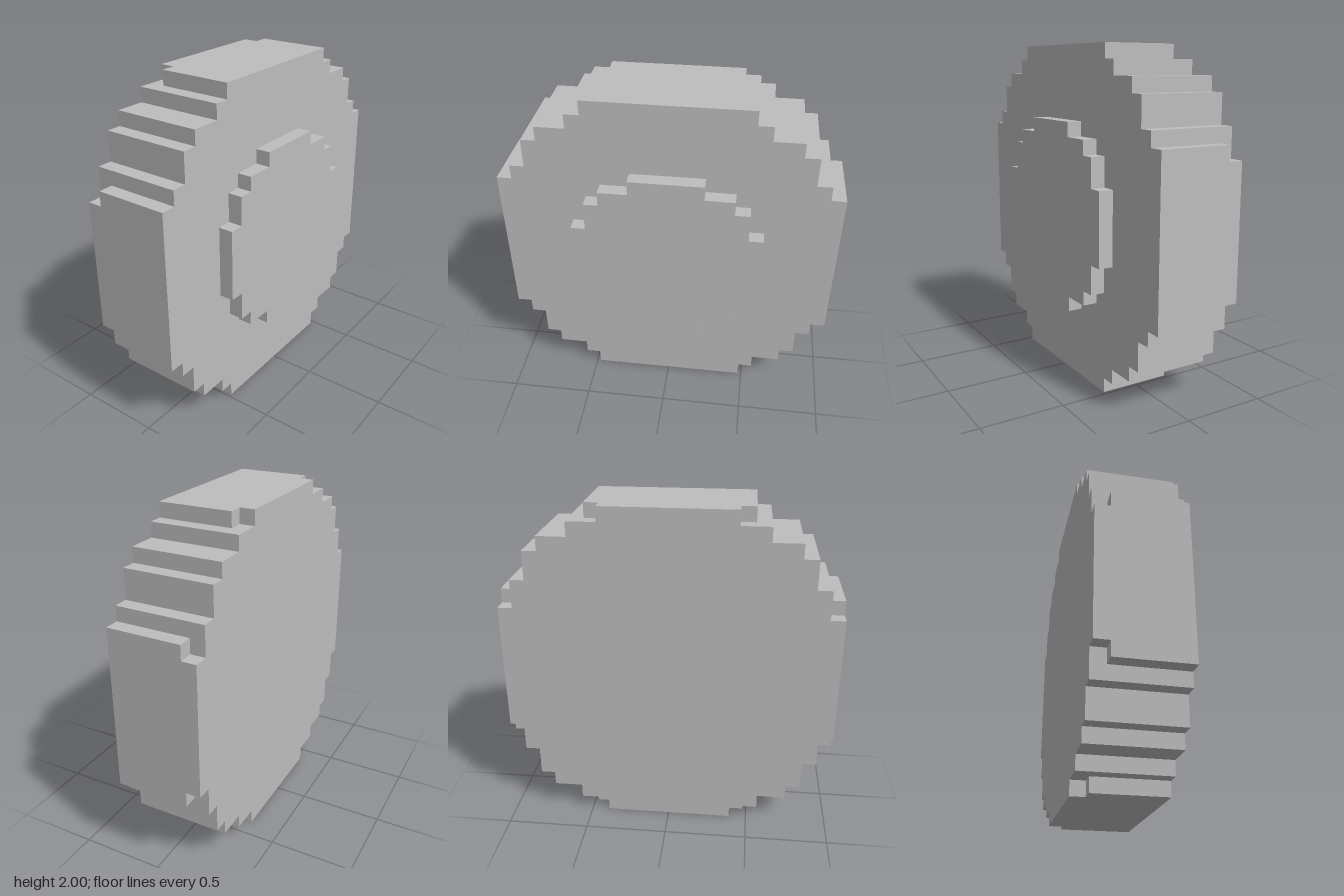
import * as THREE from 'three';

const U = 2 / 23; // edge length of one block

// Stepped disc: each pair is [half width, half height] in blocks, widest last.
function steppedDisc(steps, zBack, zFront, material, name) {
  const quarter = [];
  steps.forEach(([x, y], i) => {
    if (i > 0) quarter.push([steps[i - 1][0], y]);
    quarter.push([x, y]);
  });
  const mirrored = [...quarter].reverse();
  const outline = [
    ...quarter,
    ...mirrored.map(([x, y]) => [x, -y]),
    ...quarter.map(([x, y]) => [-x, -y]),
    ...mirrored.map(([x, y]) => [-x, y]),
  ].map(([x, y]) => new THREE.Vector2(x * U, y * U));
  const geometry = new THREE.ExtrudeGeometry(new THREE.Shape(outline), {
    depth: (zFront - zBack) * U,
    bevelEnabled: false,
  });
  geometry.translate(0, 1, zBack * U);
  const mesh = new THREE.Mesh(geometry, material);
  mesh.name = name;
  return mesh;
}

export function createModel() {
  const group = new THREE.Group();
  group.name = 'blockWheel';
  const grey = new THREE.MeshStandardMaterial({ color: 0xbebebe });
  grey.name = 'light grey';

  const rim = [[6.5, 10.5], [8.5, 9.5], [9.5, 8.5], [10.5, 6.5]];

  // Main body of the wheel
  group.add(steppedDisc([[5.5, 11.5], ...rim, [11.5, 5.5]], -2.5, 2.5, grey, 'wheelBody'));
  // Back layer, with the flat tread sections one block shorter at each end
  group.add(steppedDisc([[4.5, 11.5], ...rim, [11.5, 4.5]], -3.5, -2.5, grey, 'backLayer'));
  // Raised hub on the front
  group.add(steppedDisc([[2.5, 6.5], [4.5, 5.5], [5.5, 4.5], [6.5, 2.5]], 2.5, 3.5, grey, 'hub'));

  return group;
}
